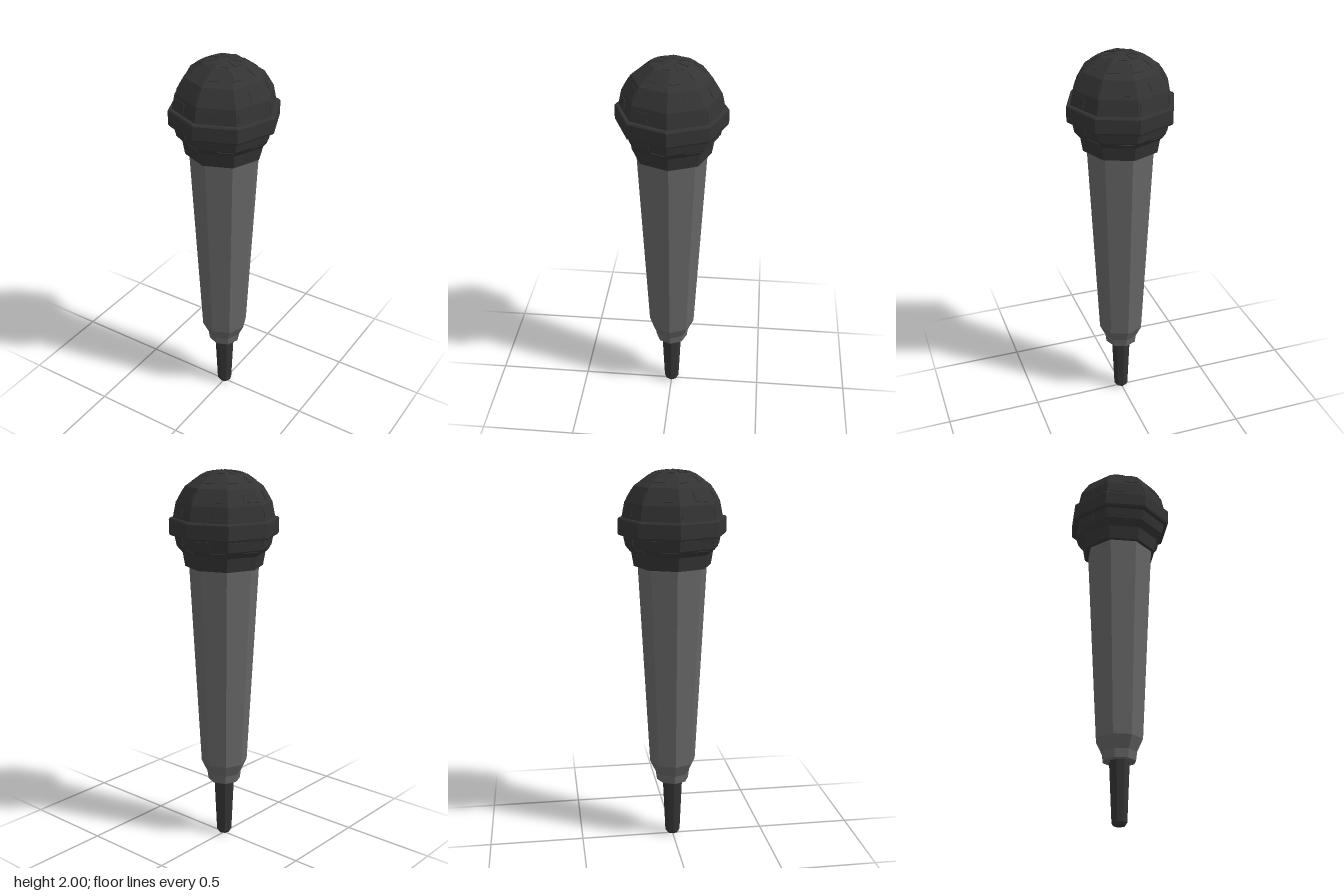
import * as THREE from 'three';

const SIDES = 8;

const mat = (name, color) => {
  const m = new THREE.MeshStandardMaterial({ color });
  m.name = name;
  return m;
};

// Faceted copy: every face gets its own normal
function facet(geometry) {
  const g = geometry.toNonIndexed();
  g.computeVertexNormals();
  return g;
}

// Eight-sided turned part from [radius, y] pairs, listed from bottom to top
function turned(name, profile, material) {
  const points = profile.map(([r, y]) => new THREE.Vector2(r, y));
  const mesh = new THREE.Mesh(facet(new THREE.LatheGeometry(points, SIDES)), material);
  mesh.name = name;
  return mesh;
}

const ringPoint = ([r, y], i) => {
  const a = (i / SIDES) * Math.PI * 2;
  return new THREE.Vector3(r * Math.sin(a), y, r * Math.cos(a));
};

// Thin raised plate lying on one facet of a band between two profile points
function plate(low, high, i, u0, u1, v0, v1, material) {
  const a = ringPoint(low, i), b = ringPoint(low, i + 1);
  const c = ringPoint(high, i), d = ringPoint(high, i + 1);
  const normal = b.clone().sub(a).cross(c.clone().sub(a)).normalize();
  const g = new THREE.BoxGeometry(1, 1, 1);
  const pos = g.attributes.position;
  for (let k = 0; k < pos.count; k++) {
    const u = u0 + (pos.getX(k) + 0.5) * (u1 - u0);
    const v = v0 + (pos.getY(k) + 0.5) * (v1 - v0);
    const p = a.clone().lerp(b, u).lerp(c.clone().lerp(d, u), v);
    p.addScaledVector(normal, pos.getZ(k) * 0.007);
    pos.setXYZ(k, p.x, p.y, p.z);
  }
  const mesh = new THREE.Mesh(facet(g), material);
  mesh.name = 'grillePlate';
  return mesh;
}

export function createModel() {
  const model = new THREE.Group();
  model.name = 'microphone';
  const black = mat('grilleBlack', 0x343434);
  const grey = mat('handleGrey', 0x666666);

  // Cable sleeve at the foot
  model.add(turned('cableSleeve',
    [[0, 0], [0.03, 0.008], [0.04, 0.022], [0.054, 0.34], [0, 0.34]], black));

  // Tapered handle with a stepped neck at the bottom
  model.add(turned('handle',
    [[0, 0.33], [0.086, 0.33], [0.092, 0.375], [0.123, 0.44], [0.18, 1.52], [0, 1.52]], grey));

  // Grille head: lower cup, then dome
  const cup = [[0.2, 1.515], [0.212, 1.585], [0.242, 1.62], [0.256, 1.69]];
  const dome = [[0.262, 1.75], [0.244, 1.84], [0.196, 1.92], [0.104, 1.983], [0, 1.998]];
  model.add(turned('grilleHead', [[0, 1.515], ...cup, ...dome], black));

  // Raised band around the widest part
  model.add(turned('headBand',
    [[0.24, 1.675], [0.275, 1.675], [0.28, 1.685], [0.28, 1.755], [0.274, 1.763], [0.24, 1.763]], black));

  // Small plates that break up the grille, shifted from row to row
  const plates = new THREE.Group();
  plates.name = 'grillePlates';
  const rows = [
    [cup[1], cup[2], 0.5, 0.95, 0.2, 0.8],
    [cup[2], cup[3], 0.05, 0.5, 0.2, 0.7],
    [dome[0], dome[1], 0.05, 0.5, 0.3, 0.8],
    [dome[1], dome[2], 0.5, 0.95, 0.2, 0.75],
    [dome[2], dome[3], 0.05, 0.5, 0.35, 0.85],
    [dome[3], dome[4], 0.45, 0.95, 0.1, 0.7],
  ];
  for (const [low, high, ...span] of rows) {
    for (let i = 0; i < SIDES; i++) plates.add(plate(low, high, i, ...span, black));
  }
  model.add(plates);

  return model;
}
